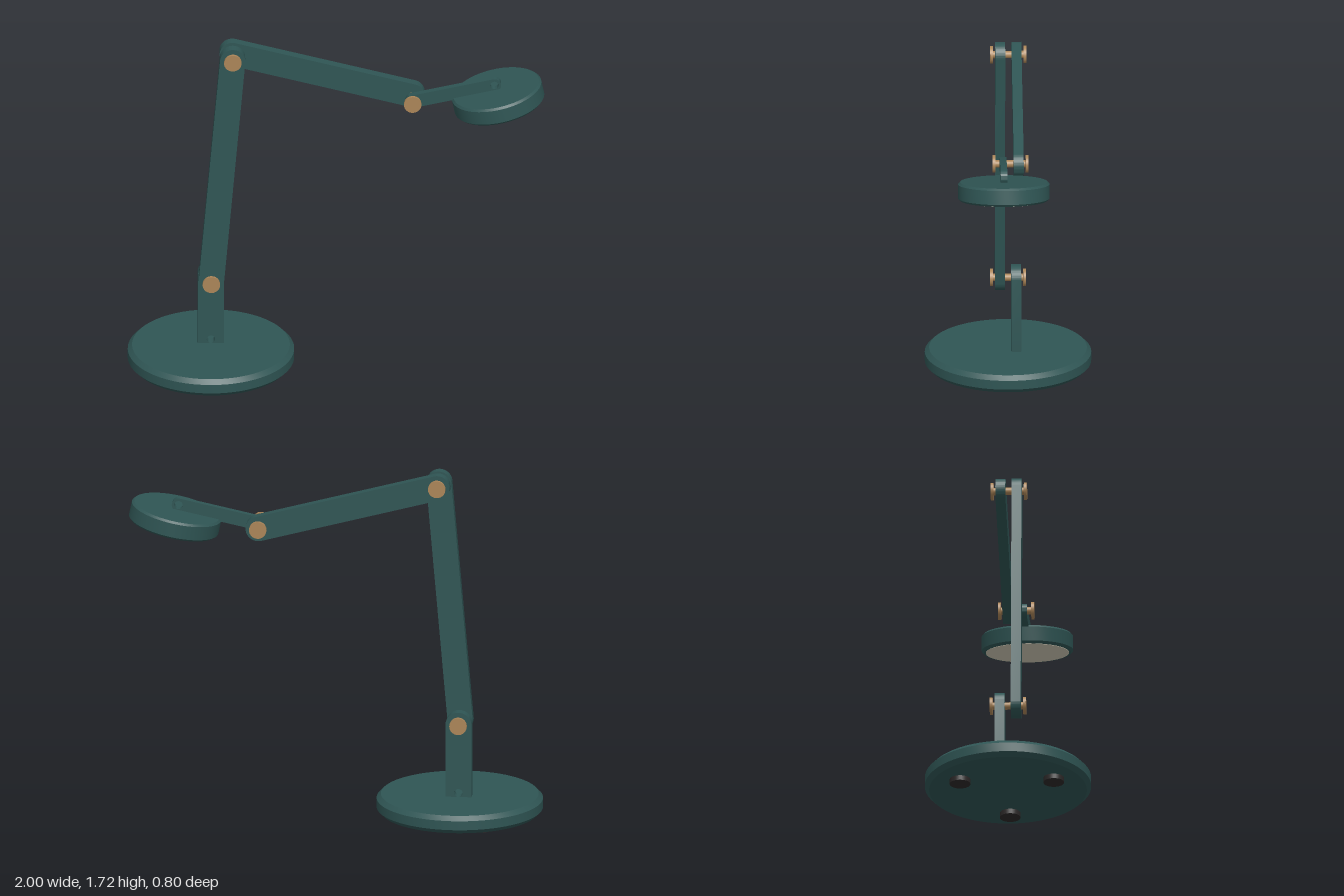
import * as THREE from 'three';
import { toCreasedNormals } from 'three/addons/utils/BufferGeometryUtils.js';

const mat = (name, color) => {
  const m = new THREE.MeshStandardMaterial({ color });
  m.name = name;
  return m;
};

export function createModel() {
  const green = mat('dark green paint', 0x2f5554);
  const brass = mat('brass', 0xab8558);
  const rubber = mat('dark rubber', 0x2c2828);
  const diffuser = mat('warm diffuser', 0xcbc5b2);

  const lamp = new THREE.Group();
  lamp.name = 'deskLamp';

  const add = (parent, name, geometry, material, x = 0, y = 0, z = 0) => {
    const mesh = new THREE.Mesh(geometry, material);
    mesh.name = name;
    mesh.position.set(x, y, z);
    parent.add(mesh);
    return mesh;
  };

  // Disc from y = 0 to h with chamfered rims
  const disc = (r, h, c) => toCreasedNormals(new THREE.LatheGeometry([
    [0, 0], [r - c, 0], [r, c], [r, h - c], [r - c, h], [0, h],
  ].map(([x, y]) => new THREE.Vector2(x, y)), 72), 0.4);

  // Flat bar along +x from the origin: round far end, round or square near end
  const bar = (length, r, depth, { square = false, hole = null } = {}) => {
    const s = new THREE.Shape();
    s.moveTo(0, -r);
    s.lineTo(length, -r);
    s.absarc(length, 0, r, -Math.PI / 2, Math.PI / 2, false);
    s.lineTo(0, r);
    if (!square) s.absarc(0, 0, r, Math.PI / 2, Math.PI * 1.5, false);
    s.closePath();
    if (hole !== null) {
      const p = new THREE.Path();
      p.absarc(hole, 0, 0.02, 0, Math.PI * 2, true);
      s.holes.push(p);
    }
    const g = new THREE.ExtrudeGeometry(s, { depth, bevelEnabled: false, curveSegments: 24 });
    g.translate(0, 0, -depth / 2);
    return toCreasedNormals(g, 0.5);
  };

  // Joint positions in the side plane
  const baseX = -0.6, sideZ = 0.039;
  const knee = new THREE.Vector2(baseX, 0.47);
  const elbow = new THREE.Vector2(-0.497, 1.655);
  const wrist = new THREE.Vector2(0.367, 1.424);
  const tip = new THREE.Vector2(0.76, 1.507);

  const link = (name, a, b, r, depth, z, options) => {
    const d = b.clone().sub(a);
    const mesh = add(lamp, name, bar(d.length(), r, depth, options), green, a.x, a.y, z);
    mesh.rotation.z = d.angle();
    return mesh;
  };

  // Base and its three feet
  add(lamp, 'base', disc(0.4, 0.087, 0.021), green, baseX, 0.024, 0);
  for (let i = 0; i < 3; i++) {
    const a = i * Math.PI * 2 / 3;
    add(lamp, 'foot' + (i + 1), new THREE.CylinderGeometry(0.05, 0.05, 0.026, 32), rubber,
      baseX + 0.26 * Math.cos(a), 0.013, 0.26 * Math.sin(a));
  }

  // Post and arms, alternating sides at each joint
  link('post', new THREE.Vector2(baseX, 0.1), knee, 0.063, 0.048, -sideZ, { square: true, hole: 0.031 });
  link('lowerArm', knee, elbow, 0.061, 0.048, sideZ);
  link('upperArm', elbow, wrist, 0.061, 0.048, -sideZ);
  const headLength = wrist.distanceTo(tip);
  const headArm = link('headArm', wrist, tip, 0.033, 0.032, sideZ - 0.003, { hole: headLength });

  // Pivot pins with a cap on both sides
  [['kneePin', knee], ['elbowPin', elbow], ['wristPin', wrist]].forEach(([name, p]) => {
    const pin = new THREE.Group();
    pin.name = name;
    pin.position.set(p.x, p.y, 0);
    pin.rotation.x = Math.PI / 2;
    add(pin, 'shaft', new THREE.CylinderGeometry(0.018, 0.018, 0.16, 24), brass);
    for (const s of [-1, 1]) {
      add(pin, 'cap', new THREE.CylinderGeometry(0.042, 0.042, 0.014, 32), brass, 0, s * 0.08, 0);
    }
    lamp.add(pin);
  });

  // Tilted lamp head hanging under the end of the head arm
  const head = new THREE.Group();
  head.name = 'head';
  head.position.set(tip.x, tip.y, sideZ - 0.002);
  head.rotation.z = headArm.rotation.z;
  add(head, 'shade', disc(0.22, 0.088, 0.01), green, 0.004, -0.112, 0);
  add(head, 'lens', new THREE.CylinderGeometry(0.2, 0.2, 0.006, 64), diffuser, 0.004, -0.111, 0);
  lamp.add(head);

  return lamp;
}
